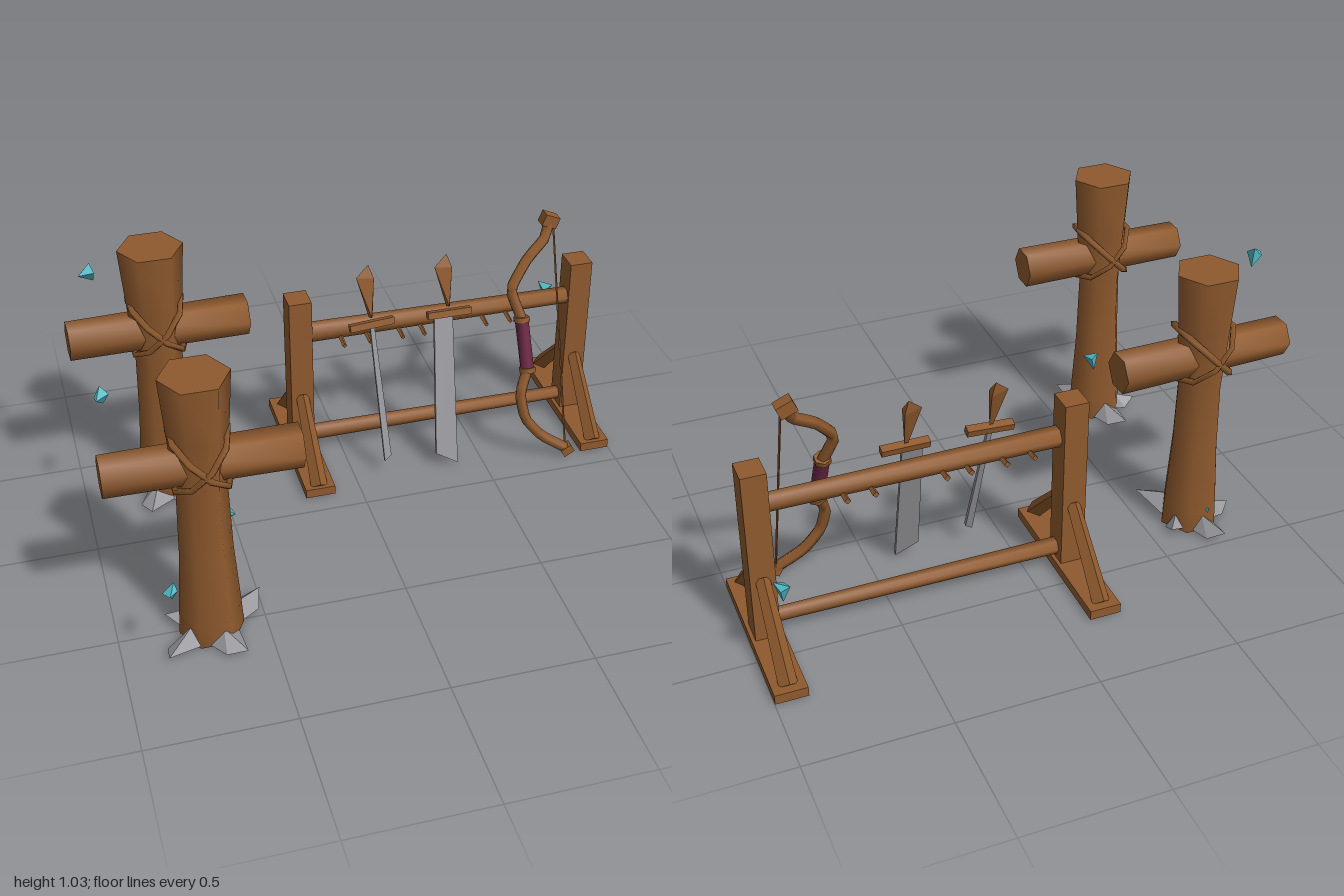
import * as THREE from 'three';
import { toCreasedNormals } from 'three/addons/utils/BufferGeometryUtils.js';
import { ConvexGeometry } from 'three/addons/geometries/ConvexGeometry.js';

const mat = (name, color) => Object.assign(new THREE.MeshStandardMaterial({ color }), { name });
const V = (x, y, z) => new THREE.Vector3(x, y, z);

export function createModel() {
  const wood = mat('wood', 0x8f5a2e);
  const stone = mat('stone', 0x96969b);
  const crystal = mat('crystal', 0x4fb6c2);
  const grip = mat('gripLeather', 0x6a2745);

  const root = new THREE.Group();
  root.name = 'trainingYard';

  const add = (parent, name, geo, material, x = 0, y = 0, z = 0) => {
    const m = new THREE.Mesh(geo, material);
    m.name = name;
    m.position.set(x, y, z);
    parent.add(m);
    return m;
  };
  const smooth = (geo) => toCreasedNormals(geo, 1.15);
  // Tapered rod between two points
  const rod = (parent, name, a, b, ra, rb, material = wood, sides = 6) => {
    const dir = b.clone().sub(a);
    const m = add(parent, name, smooth(new THREE.CylinderGeometry(rb, ra, dir.length(), sides)), material);
    m.position.copy(a).add(b).multiplyScalar(0.5);
    m.quaternion.setFromUnitVectors(V(0, 1, 0), dir.normalize());
    return m;
  };

  // Training posts: flared trunk, crossbar, rope lashing and shards at the foot
  const profile = [[0, 0.01], [0.11, 0.01], [0.106, 0.1], [0.09, 0.35], [0.084, 0.6], [0.1, 0.82], [0.115, 1.03], [0, 1.03]]
    .map(([r, y]) => new THREE.Vector2(r, y));
  const trainingPost = (name, z, yaw, shards) => {
    const g = new THREE.Group();
    g.name = name;
    g.position.set(-0.685, 0, z);
    root.add(g);

    const trunk = add(g, 'trunk', smooth(new THREE.LatheGeometry(profile, 6)), wood);
    trunk.rotation.y = Math.PI / 6;
    const arm = new THREE.Group();
    arm.name = 'armAndLashing';
    arm.rotation.y = yaw;
    g.add(arm);
    rod(arm, 'crossbar', V(-0.315, 0.707, 0), V(0.325, 0.705, 0), 0.069, 0.074);
    for (const s of [-1, 1]) {
      const rope = add(arm, 'ropeLoop', new THREE.TorusGeometry(0.127, 0.012, 4, 9), wood, 0, 0.725, 0);
      rope.rotation.set(Math.PI / 2, s * 0.79, 0);
      rope.scale.set(1.06, 1, 1);
    }
    // Each shard: angle in degrees, reach, half width, tip height
    for (const [deg, reach, w, tip] of shards) {
      const geo = new ConvexGeometry([
        V(0.07, 0.015, -w), V(0.07, 0.015, w), V(0.085, 0.07, 0.01),
        V(reach * 0.8, 0.02, w * 0.8), V(reach, tip, -w * 0.2),
      ]);
      add(g, 'stoneShard', geo, stone).rotation.y = -deg * Math.PI / 180;
    }
  };
  trainingPost('frontTrainingPost', 0.51, 0,
    [[-100, 0.21, 0.06, 0.04], [-25, 0.21, 0.05, 0.06], [65, 0.19, 0.06, 0.03], [142, 0.22, 0.05, 0.04], [205, 0.16, 0.04, 0.05]]);
  trainingPost('backTrainingPost', -0.31, 0.03,
    [[-100, 0.2, 0.05, 0.05], [-35, 0.15, 0.04, 0.04], [58, 0.22, 0.06, 0.04], [122, 0.2, 0.06, 0.03], [190, 0.15, 0.04, 0.05]]);

  // Rack ends: foot, upright and two braces
  for (const [side, x] of [['right', -0.155], ['left', 0.943]]) {
    const end = new THREE.Group();
    end.name = side + 'RackEnd';
    end.position.set(x, 0, -0.39);
    root.add(end);
    add(end, 'foot', new THREE.BoxGeometry(0.112, 0.035, 0.63), wood, 0, 0.028, -0.008);
    add(end, 'upright', new THREE.BoxGeometry(0.086, 0.67, 0.095), wood, 0, 0.36, 0);
    for (const s of [-1, 1]) {
      rod(end, 'brace', V(0, 0.04, s * 0.285), V(0, 0.29, s * 0.04), 0.032, 0.024, wood, 4);
    }
  }

  // Rails and pegs
  rod(root, 'topRail', V(-0.14, 0.548, -0.38), V(0.93, 0.547, -0.38), 0.038, 0.032);
  rod(root, 'bottomRail', V(-0.14, 0.09, -0.385), V(0.93, 0.092, -0.385), 0.031, 0.025);
  for (const x of [0, 0.1, 0.225, 0.31, 0.555, 0.65]) {
    rod(root, 'peg', V(x, 0.53, -0.45), V(x, 0.515, -0.3), 0.011, 0.008, wood, 4);
  }

  // Swords: outline runs down from the guard, handle flares upward
  const sword = (name, x, outline, lean) => {
    const g = new THREE.Group();
    g.name = name;
    g.position.set(x, 0.585, -0.305);
    g.rotation.x = -0.29;
    root.add(g);
    const shape = new THREE.Shape(outline.map(([px, py]) => new THREE.Vector2(px, py)));
    add(g, 'blade', new THREE.ExtrudeGeometry(shape, { depth: 0.014, bevelEnabled: false }), stone, 0, 0, -0.007);
    const guard = add(g, 'guard', new THREE.BoxGeometry(0.17, 0.026, 0.03), wood, 0, 0.005, 0);
    guard.rotation.z = lean;
    const flare = new ConvexGeometry([
      V(-0.007, 0.03, -0.007), V(0.007, 0.03, -0.007), V(0, 0.03, 0.01),
      V(-0.045, 0.185, 0), V(0.018, 0.18, -0.015), V(0.018, 0.18, 0.015), V(0.004, 0.23, 0),
    ]);
    add(g, 'handle', flare, wood);
  };
  sword('narrowSword', 0.105, [[-0.008, 0], [0.008, 0], [0.035, -0.515], [0.008, -0.535]], 0.07);
  sword('broadSword', 0.405, [[-0.06, 0], [0.012, 0], [-0.005, -0.59], [-0.088, -0.54]], 0);

  // Bow leaning on the rack
  const bow = new THREE.Group();
  bow.name = 'bow';
  root.add(bow);
  const limb = (name, pts) => {
    const curve = new THREE.CatmullRomCurve3(pts, false, 'catmullrom', 0.2);
    add(bow, name, new THREE.TubeGeometry(curve, 12, 0.021, 5), wood);
  };
  const tipTop = V(0.81, 0.88, -0.38), tipLow = V(0.825, 0.04, -0.08);
  const gripTop = V(0.668, 0.56, -0.235), gripLow = V(0.68, 0.37, -0.175);
  limb('upperLimb', [gripTop, V(0.635, 0.67, -0.275), V(0.71, 0.765, -0.32), V(0.79, 0.825, -0.355), tipTop]);
  limb('lowerLimb', [gripLow, V(0.642, 0.29, -0.135), V(0.658, 0.19, -0.11), V(0.72, 0.11, -0.1), tipLow]);
  rod(bow, 'grip', gripLow, gripTop, 0.026, 0.026, grip);
  for (const p of [gripTop, gripLow]) {
    add(bow, 'gripCollar', new THREE.CylinderGeometry(0.031, 0.031, 0.02, 6), wood, p.x, p.y, p.z).rotation.x = -0.3;
  }
  const nock = add(bow, 'upperNock', new THREE.BoxGeometry(0.06, 0.045, 0.045), wood, 0.812, 0.885, -0.38);
  nock.rotation.z = -0.4;
  const nockLow = add(bow, 'lowerNock', new THREE.BoxGeometry(0.045, 0.035, 0.035), wood, 0.825, 0.038, -0.08);
  nockLow.rotation.z = 0.5;
  rod(bow, 'bowString', V(0.82, 0.04, -0.08), V(0.828, 0.86, -0.375), 0.004, 0.004, wood, 4);

  // Floating crystals: position, size and spin
  const gem = new ConvexGeometry([
    V(-0.8, 0.6, 0.1), V(0.7, 0.7, -0.4), V(0.5, 0.3, 0.6), V(0.1, -1, 0), V(-0.3, 0.2, -0.5),
  ]);
  for (const [x, y, z, size, spin] of [
    [-0.91, 1.0, -0.23, 0.038, 0.3], [-0.92, 0.555, -0.145, 0.04, 0.9], [-0.58, 0.34, 0.335, 0.038, 2.2],
    [-0.83, 0.34, 0.68, 0.036, 4], [0.93, 0.41, -0.66, 0.04, 5.2], [-0.63, 0.2, -0.53, 0.012, 1],
  ]) {
    const c = add(root, 'floatingCrystal', gem, crystal, x, y, z);
    c.scale.setScalar(size);
    c.rotation.set(0.2, spin, Math.sin(spin * 3) * 0.5);
  }
  return root;
}
